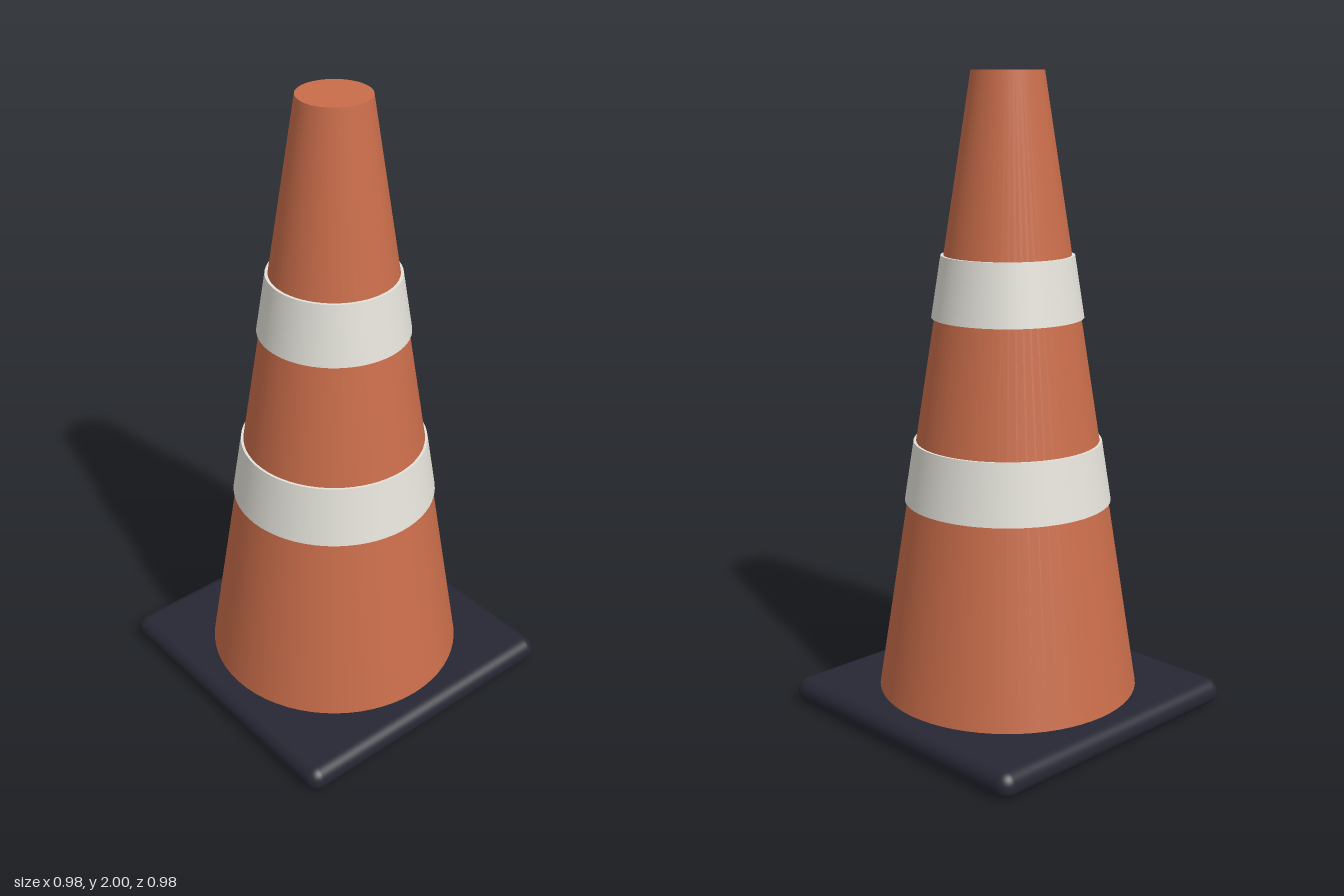
import * as THREE from 'three';
import { RoundedBoxGeometry } from 'three/addons/geometries/RoundedBoxGeometry.js';

const SEGMENTS = 64;
const BASE_TOP = 0.08, TOP = 2, R_BOTTOM = 0.41, R_TOP = 0.11;

// Cone radius at height y
const coneRadius = (y) =>
  THREE.MathUtils.mapLinear(y, BASE_TOP, TOP, R_BOTTOM, R_TOP);

function makeMaterial(name, color) {
  const material = new THREE.MeshStandardMaterial({ color });
  material.name = name;
  return material;
}

export function createModel() {
  const group = new THREE.Group();
  group.name = 'trafficCone';

  const orange = makeMaterial('orange', 0xc96d4a);
  const white = makeMaterial('reflectiveWhite', 0xe4e2da);
  const rubber = makeMaterial('darkRubber', 0x262733);

  const add = (name, geometry, material, y) => {
    const mesh = new THREE.Mesh(geometry, material);
    mesh.name = name;
    mesh.position.y = y;
    group.add(mesh);
  };

  // Square rubber base with rounded edges
  add('base', new RoundedBoxGeometry(0.98, 0.082, 0.98, 6, 0.04), rubber, 0.041);

  // Tapered body with closed top
  add('coneBody',
    new THREE.CylinderGeometry(R_TOP, R_BOTTOM, TOP - BASE_TOP, SEGMENTS),
    orange, (TOP + BASE_TOP) / 2);

  // Raised collars following the taper
  const bands = [
    ['lowerBand', 0.69, 0.88, 0.008],
    ['upperBand', 1.265, 1.455, 0.009],
  ];
  for (const [name, y0, y1, lift] of bands) {
    add(name,
      new THREE.CylinderGeometry(coneRadius(y1) + lift, coneRadius(y0) + lift, y1 - y0, SEGMENTS),
      white, (y0 + y1) / 2);
  }

  return group;
}
